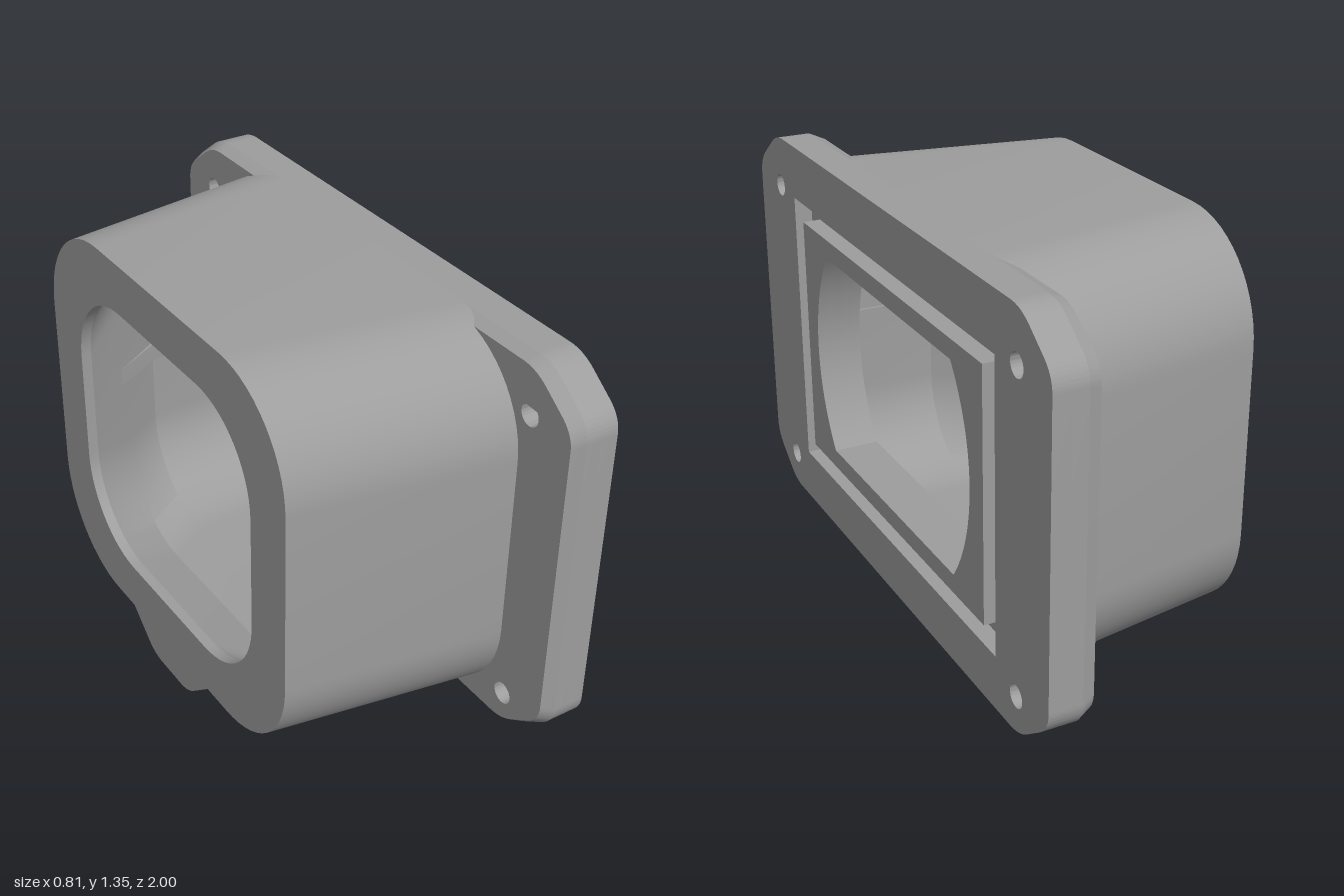
import * as THREE from 'three';
import { toCreasedNormals } from 'three/addons/utils/BufferGeometryUtils.js';

const CY = 0.73; // height of the central axis, which runs along x
const material = new THREE.MeshStandardMaterial({ color: 0x9d9d9d });

function addMesh(group, name, geometry, crease = 0.5) {
  const mesh = new THREE.Mesh(toCreasedNormals(geometry, crease), material);
  mesh.name = name;
  group.add(mesh);
}

// Extrude a (z, y) shape along x between two positions
function extrudeX(shape, x0, x1) {
  const g = new THREE.ExtrudeGeometry(shape, { depth: x1 - x0, bevelEnabled: false, curveSegments: 24 });
  return g.rotateY(Math.PI / 2).translate(x0, 0, 0);
}

function rectangle(target, w, h) {
  return target.moveTo(-w, -h).lineTo(w, -h).lineTo(w, h).lineTo(-w, h).closePath();
}

// Plate outline with clipped, rounded corners and four screw holes
function plateShape() {
  const s = new THREE.Shape();
  // Start, control and end of the two curves at a corner
  const side = [[1, 0.45], [1, 0.5], [0.955, 0.534]];
  const top = [[0.885, 0.586], [0.84, 0.62], [0.785, 0.62]];
  s.moveTo(1, 0);
  for (const [sx, sy] of [[1, 1], [-1, 1], [-1, -1], [1, -1]]) {
    let curves = [side, top];
    if (sx * sy < 0) curves = [[...top].reverse(), [...side].reverse()];
    for (const [a, c, b] of curves) {
      s.lineTo(a[0] * sx, a[1] * sy);
      s.quadraticCurveTo(c[0] * sx, c[1] * sy, b[0] * sx, b[1] * sy);
    }
  }
  s.closePath();
  for (const z of [-0.82, 0.82]) for (const y of [-0.505, 0.46]) {
    s.holes.push(new THREE.Path().absarc(z, y, 0.035, 0, Math.PI * 2, true));
  }
  return s;
}

// Window: a circle cut off flat at top and bottom
function windowPath() {
  const r = 0.55, a = Math.asin(0.33 / r);
  const p = new THREE.Path();
  p.absarc(0, 0, r, -a, a, false);
  p.absarc(0, 0, r, Math.PI - a, Math.PI + a, false);
  p.closePath();
  return p;
}

// Rounded rectangle cross-section at x
function section(x, w, h, r) {
  const pts = [], n = 14;
  for (let c = 0; c < 4; c++) {
    const sz = c === 0 || c === 3 ? 1 : -1, sy = c < 2 ? 1 : -1;
    for (let i = 0; i <= n; i++) {
      const t = (c + i / n) * Math.PI / 2;
      pts.push([x, sy * (h - r) + r * Math.sin(t), sz * (w - r) + r * Math.cos(t)]);
    }
  }
  return pts;
}

function loft(sections) {
  const m = sections[0].length, index = [];
  for (let s = 0; s < sections.length - 1; s++) for (let i = 0; i < m; i++) {
    const a = s * m + i, b = s * m + (i + 1) % m;
    index.push(a, b, a + m, b, b + m, a + m);
  }
  const g = new THREE.BufferGeometry();
  g.setAttribute('position', new THREE.Float32BufferAttribute(sections.flat(2), 3));
  g.setIndex(index);
  return g;
}

export function createModel() {
  const group = new THREE.Group();
  const core = new THREE.Group();
  core.name = 'housingAndPlate';
  core.position.y = CY;
  group.add(core);

  // Tapered hollow housing: outside, rear rim, short lip, then the cavity
  addMesh(core, 'housing', loft([
    section(0.3, 0.797, 0.62, 0.33),
    section(-0.403, 0.68, 0.62, 0.33),
    section(-0.403, 0.505, 0.46, 0.28),
    section(-0.37, 0.505, 0.46, 0.28),
    section(-0.2, 0.612, 0.55, 0.3),
    section(-0.06, 0.7, 0.55, 0.3),
    section(0.262, 0.71, 0.55, 0.3),
  ]), 0.3);

  // Mounting plate, with its rear outer edge chamfered
  const backShape = plateShape();
  backShape.holes.push(windowPath());
  const back = extrudeX(backShape, 0.26, 0.3), p = back.attributes.position;
  for (let i = 0; i < p.count; i++) {
    const y = p.getY(i), z = p.getZ(i);
    const inHole = Math.hypot(Math.abs(z) - 0.82, y - (y > 0 ? 0.46 : -0.505)) < 0.04;
    const outline = !inHole && (Math.abs(y) > 0.4 || Math.abs(z) > 0.9);
    if (p.getX(i) < 0.28 && outline) {
      p.setY(i, y * 0.972);
      p.setZ(i, z * 0.985);
    }
  }
  addMesh(core, 'plateChamfer', back);

  const midShape = plateShape();
  midShape.holes.push(windowPath());
  addMesh(core, 'plateMiddle', extrudeX(midShape, 0.3, 0.347));

  // Face of the plate: outer frame and inner frame with a seal groove between
  const frame = plateShape();
  frame.holes.push(rectangle(new THREE.Path(), 0.7, 0.45));
  addMesh(core, 'plateFace', extrudeX(frame, 0.347, 0.403));

  const inner = rectangle(new THREE.Shape(), 0.63, 0.39);
  inner.holes.push(windowPath());
  addMesh(core, 'innerFrame', extrudeX(inner, 0.347, 0.403));

  // Slim ribs along the cavity sides
  for (const side of [-1, 1]) {
    const rib = new THREE.Shape([[-0.385, 0.505], [-0.06, 0.69], [0.262, 0.7], [0.262, 0.73], [-0.06, 0.72], [-0.385, 0.6]]
      .map(([x, z]) => new THREE.Vector2(x, z * side)));
    const g = new THREE.ExtrudeGeometry(rib, { depth: 0.06, bevelEnabled: false });
    addMesh(core, 'cavityRib', g.rotateX(-Math.PI / 2).translate(0, -0.03, 0));
  }

  // Tab under the rear edge, its front sloping forward as it rises
  const tab = new THREE.Shape();
  tab.moveTo(-0.25, 0.12).lineTo(-0.14, 0.027);
  tab.quadraticCurveTo(-0.105, 0, -0.06, 0).lineTo(0.06, 0);
  tab.quadraticCurveTo(0.105, 0, 0.14, 0.027).lineTo(0.25, 0.12).closePath();
  const tabGeometry = extrudeX(tab, -0.403, -0.34), t = tabGeometry.attributes.position;
  for (let i = 0; i < t.count; i++) {
    if (t.getX(i) > -0.37) t.setX(i, -0.34 + t.getY(i) * 0.91);
  }
  addMesh(group, 'bottomTab', tabGeometry);

  return group;
}
